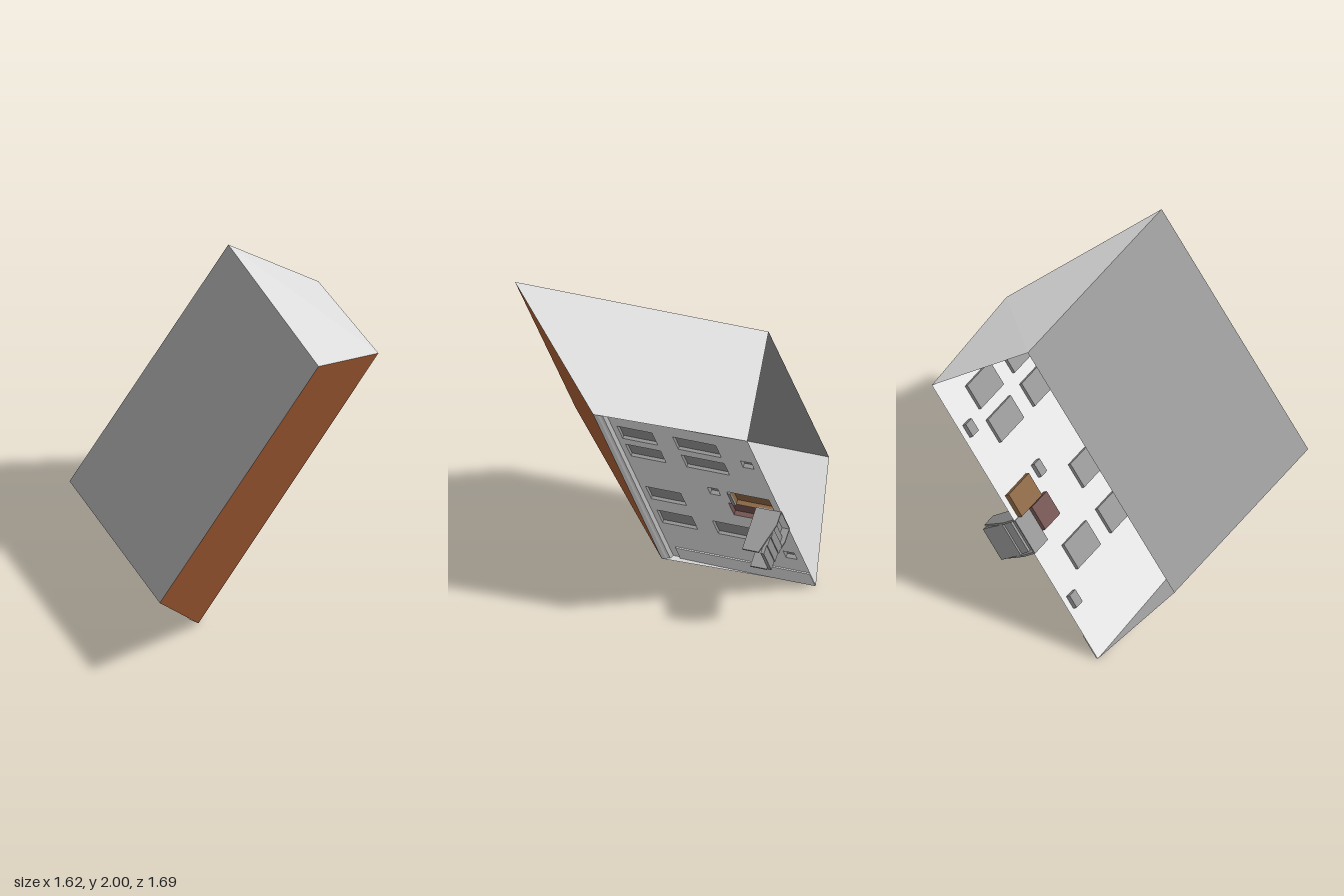
import * as THREE from 'three';

const mat = (name, color) => {
  const m = new THREE.MeshStandardMaterial({ color, side: THREE.DoubleSide, flatShading: true });
  m.name = name;
  return m;
};

export function createModel() {
  const wallGrey = mat('pale wall grey', 0xe4e4e4);
  const darkGrey = mat('dark grey', 0x959595);
  const roofBrown = mat('roof brown', 0xa95f36);
  const doorMauve = mat('door mauve', 0x735451);
  const hatchBrown = mat('hatch brown', 0x8a6644);

  // House frame: x along the facade, y up the house, z out of the facade
  const house = new THREE.Group();
  house.name = 'house';
  const add = (name, geo, material, x = 0, y = 0, z = 0) => {
    const mesh = new THREE.Mesh(geo, material);
    mesh.name = name;
    mesh.position.set(x, y, z);
    house.add(mesh);
    return mesh;
  };
  // Flat polygon from its corners
  const panel = (name, pts, material) => {
    const idx = [];
    for (let i = 1; i < pts.length - 1; i++) idx.push(0, i, i + 1);
    const g = new THREE.BufferGeometry();
    g.setAttribute('position', new THREE.Float32BufferAttribute(pts.flat(), 3));
    g.setIndex(idx);
    g.computeVertexNormals();
    add(name, g, material);
  };
  const box = (name, x0, x1, y0, y1, z0, z1, material) =>
    add(name, new THREE.BoxGeometry(x1 - x0, y1 - y0, z1 - z0), material,
      (x0 + x1) / 2, (y0 + y1) / 2, (z0 + z1) / 2);

  const F = -0.285, L = -0.199, R = 1.754;   // facade plane and ends
  const base = -0.845, eave = 0.045;
  const A = [0.027, 0.845, -1.007], B = [1.741, 0.845, -1.0];
  const A0 = [0.027, -0.75, -1.007], B0 = [1.741, -0.75, -1.0];
  const C = [1.776, 0.11, -0.254], D = [-0.178, 0.11, -0.254];

  // Shell, open at the bottom
  panel('roof', [A, D, C, B], roofBrown);
  panel('rearWall', [A, B, B0, A0], darkGrey);
  panel('leftEndWall', [C, [R, eave, F], [R, base, F], B0, B], wallGrey);
  panel('rightEndWall', [D, A, A0, [L, base, F], [L, eave, F]], wallGrey);

  // Stepped cornice under the eave
  const profile = [[0.11, -0.254], [0.085, -0.257], [0.075, -0.264], [0.06, -0.266], [eave, F]];
  for (let i = 0; i < profile.length - 1; i++) {
    const [y0, z0] = profile[i], [y1, z1] = profile[i + 1];
    const ends = (z) => [L + 0.021 * (z - F) / 0.031, R + 0.022 * (z - F) / 0.031];
    const [l0, r0] = ends(z0), [l1, r1] = ends(z1);
    panel('cornice', [[l0, y0, z0], [l1, y1, z1], [r1, y1, z1], [r0, y0, z0]], wallGrey);
  }

  // Recessed openings: name, x0, x1, y0, y1, material, depth
  const openings = [];
  const rows = [[1.431, 1.596], [1.193, 1.352], [0.613, 0.778], [0.289, 0.46]];
  rows.forEach(([x0, x1], i) => {
    openings.push(['window', x0, x1, -0.21, 0.01, darkGrey, 0.02]);
    if (i !== 2) openings.push(['window', x0, x1, -0.61, -0.34, darkGrey, 0.02]);
  });
  for (const x of [0.131, 1.352]) openings.push(['vent', x, x + 0.085, -0.80, -0.73, darkGrey, 0.027]);
  openings.push(['smallVent', 0.86, 0.948, -0.48, -0.415, darkGrey, 0.027]);
  openings.push(['frontDoor', 0.615, 0.775, -0.688, -0.51, doorMauve, 0.03]);
  openings.push(['hatch', 0.78, 0.936, -0.80, -0.56, hatchBrown, 0.03]);

  const wall = new THREE.Shape([[L, base], [R, base], [R, eave], [L, eave]].map((p) => new THREE.Vector2(...p)));
  for (const [name, x0, x1, y0, y1, material, depth] of openings) {
    wall.holes.push(new THREE.Path([[x0, y0], [x0, y1], [x1, y1], [x1, y0]].map((p) => new THREE.Vector2(...p))));
    const niche = box(name, x0, x1, y0, y1, F - depth, F, material);
    // Drop the open front of the niche
    const idx = Array.from(niche.geometry.index.array);
    niche.geometry.setIndex([...idx.slice(0, 24), ...idx.slice(30)]);
    niche.geometry.clearGroups();
  }
  add('facade', new THREE.ShapeGeometry(wall), wallGrey, 0, 0, F);
  box('hatchLintel', 0.775, 0.94, -0.56, -0.54, F, F + 0.012, darkGrey);
  box('endPilaster', L + 0.005, -0.034, base, 0, F, F + 0.008, wallGrey);
  box('stairBacking', 0.55, 0.785, base, -0.69, F - 0.008, F - 0.002, darkGrey);

  // Entrance stair descending away from the facade between two cheek walls
  const front = -0.008;
  const cheek = new THREE.Shape([[F, -0.688], [front, -0.688], [front, -0.79], [-0.2, base], [F, base]]
    .map(([z, y]) => new THREE.Vector2(-z, y)));
  for (const x of [0.55, 0.781]) {
    const g = new THREE.ExtrudeGeometry(cheek, { depth: 0.012, bevelEnabled: false });
    g.rotateY(Math.PI / 2);
    add('stairCheek', g, darkGrey, x);
  }
  const steps = 5, run = (front - F) / steps;
  for (let i = 0; i < steps; i++) {
    const z0 = F + i * run, top = -0.7 - i * 0.025;
    box('step', 0.562, 0.781, Math.max(base, top - 0.1) + i * 0.006, top, z0, z0 + run, darkGrey);
  }

  // Lay the house over so its roof faces forward
  const u = new THREE.Vector3(0.573, 0.8195, 0);
  const up = new THREE.Vector3(0, 0, 1);
  const n = new THREE.Vector3(0.8195, -0.573, 0);
  house.applyMatrix4(new THREE.Matrix4().makeBasis(u, up, n));

  const group = new THREE.Group();
  group.name = 'building';
  group.add(house);
  return group;
}
